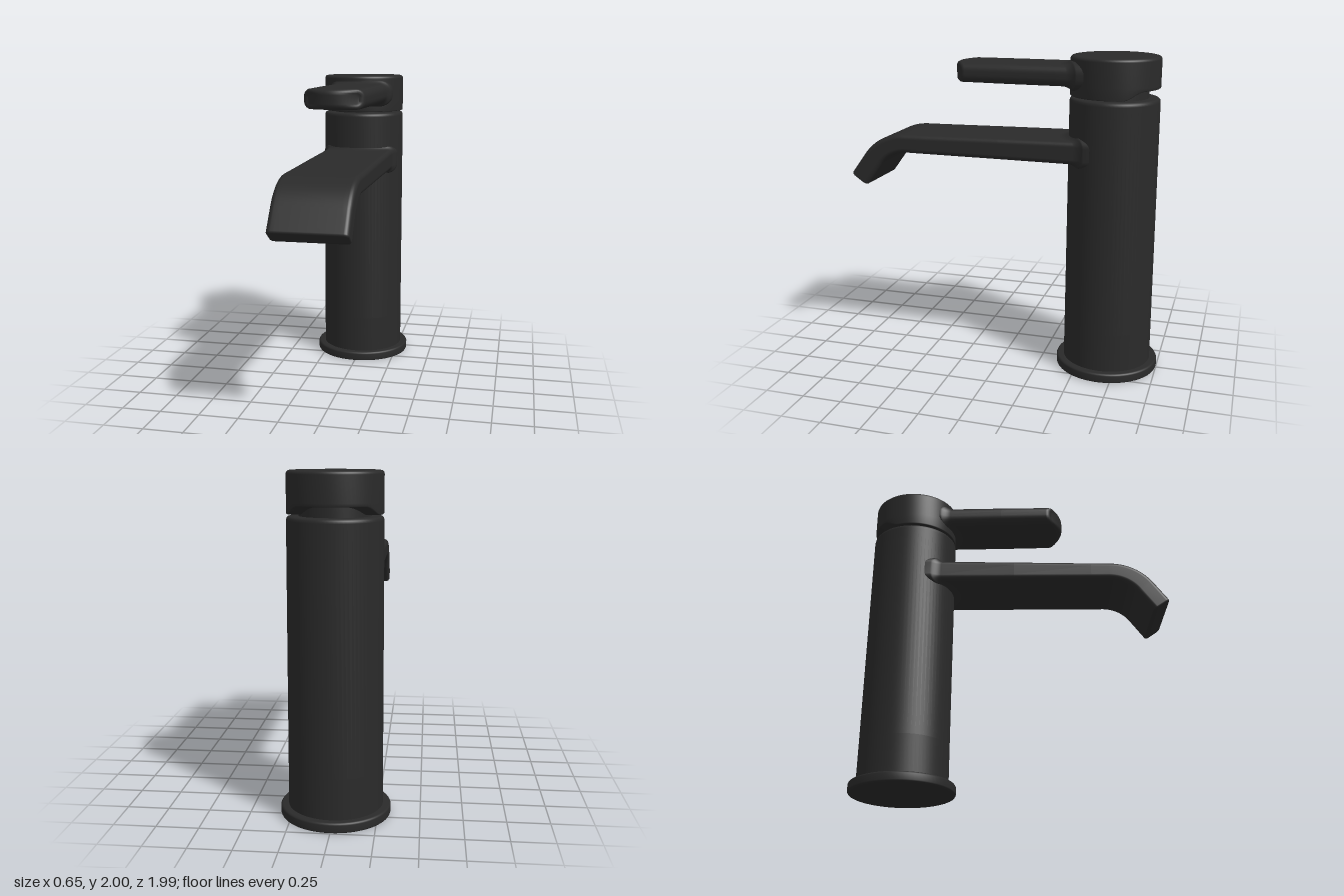
import * as THREE from 'three';
import { mergeVertices } from 'three/addons/utils/BufferGeometryUtils.js';

const AXIS_Z = -0.675;

// Turned solid around the column axis; rule may shift its vertices
function turned(points, rule) {
  let g = new THREE.LatheGeometry(points.map(p => new THREE.Vector2(...p)), 72);
  g.deleteAttribute('uv');
  g.deleteAttribute('normal');
  if (rule) {
    const p = g.attributes.position;
    for (let i = 0; i < p.count; i++) p.setY(i, rule(p.getX(i), p.getY(i), p.getZ(i)));
  }
  g = mergeVertices(g, 1e-5);
  g.computeVertexNormals();
  g.translate(0, 0, AXIS_Z);
  return g;
}

// Rounded-rectangle outline: right to left over the top, then back underneath
function outline(hw, hh, r) {
  const top = [];
  const corner = (cx, from) => {
    for (let i = 0; i <= 6; i++) {
      const a = from + (i / 6) * Math.PI / 2;
      top.push([cx + r * Math.cos(a), hh - r + r * Math.sin(a)]);
    }
  };
  corner(hw - r, 0);
  for (let i = 1; i < 16; i++) top.push([(hw - r) * (1 - i / 8), hh]);
  corner(-(hw - r), Math.PI / 2);
  return [...top, ...top.map(([x, y]) => [x, -y]).reverse()];
}

// Skin through outlines; pitch turns the path downward, bulge bows each slice
function loft(sections) {
  const pos = [], idx = [];
  let n = 0;
  for (const { z, y, pitch = 0, hw, hh, r, bulge = 0 } of sections) {
    const ring = outline(hw, hh, r), c = Math.cos(pitch), s = Math.sin(pitch);
    n = ring.length;
    for (const [x, v] of ring) {
      const d = -bulge * (x / hw) ** 2;
      pos.push(x, y + v * c - d * s, z + v * s + d * c);
    }
  }
  for (let i = 0; i < sections.length - 1; i++) {
    for (let j = 0; j < n; j++) {
      const a = i * n + j, b = i * n + (j + 1) % n;
      idx.push(a, b, a + n, b, b + n, a + n);
    }
  }
  // closing face at the tip
  const e = (sections.length - 1) * n;
  for (let j = 0; j < n / 2 - 1; j++) {
    idx.push(e + j, e + j + 1, e + n - 2 - j, e + j, e + n - 2 - j, e + n - 1 - j);
  }
  const g = new THREE.BufferGeometry();
  g.setAttribute('position', new THREE.Float32BufferAttribute(pos, 3));
  g.setIndex(idx);
  g.computeVertexNormals();
  return g;
}

// Flared root blending an arm into the column
function root(y, hw, hh, r, bulge) {
  const out = [];
  for (let i = -1; i <= 6; i++) {
    const s = Math.max(i, 0) / 6, grow = 0.024 * (1 - s) ** 2;
    out.push({ z: i < 0 ? -0.5 : -0.41 + 0.07 * s, y, hw: hw + grow, hh: hh + grow, r: r + grow, bulge });
  }
  return out;
}

// Rounded end of an arm, finishing at (z, y)
function tip(z, y, pitch, hw, hh, r, bulge, round) {
  const out = [];
  for (let i = 0; i <= 5; i++) {
    const t = (i / 5) * Math.PI / 2, back = round * (1 - Math.sin(t)), inset = round * (1 - Math.cos(t));
    out.push({
      z: z - back * Math.cos(pitch), y: y + back * Math.sin(pitch), pitch,
      hw: hw - inset, hh: hh - inset, r: r - inset, bulge,
    });
  }
  return out;
}

export function createModel() {
  const model = new THREE.Group();
  const black = new THREE.MeshStandardMaterial({ color: 0x2a2a2a });
  black.name = 'matte black';
  const add = (name, geometry) => {
    const m = new THREE.Mesh(geometry, black);
    m.name = name;
    model.add(m);
    return m;
  };

  // Base flange and column
  add('baseFlange', turned([[0, 0], [0.31, 0], [0.322, 0.003], [0.325, 0.01], [0.325, 0.048],
    [0.321, 0.056], [0.312, 0.06], [0.26, 0.06]]));
  add('column', turned([[0.279, 0.05], [0.278, 0.3], [0.274, 1.725], [0.271, 1.739], [0.265, 1.746],
    [0.255, 1.75], [0.2, 1.75], [0, 1.75]]));
  add('neck', turned([[0.205, 1.74], [0.205, 1.84]]));

  // Handle cap, its underside raised at the back
  add('handleCap', turned([[0, 1.76], [0.08, 1.76], [0.12, 1.76], [0.16, 1.76], [0.2, 1.76], [0.235, 1.76],
    [0.268, 1.76], [0.273, 1.765], [0.273, 1.83], [0.273, 1.98], [0.27, 1.99], [0.263, 1.997],
    [0.252, 2], [0.2, 2], [0, 2]],
  (x, y, z) => (y < 1.8 ? y + 0.05 * THREE.MathUtils.smoothstep(-z, 0.09, 0.2) : y)));

  // Lever, swung very slightly to one side
  const lever = loft([
    ...root(1.883, 0.195, 0.0625, 0.05, 0.08),
    { z: 0, y: 1.883, hw: 0.195, hh: 0.0625, r: 0.05, bulge: 0.08 },
    ...tip(0.33, 1.883, 0, 0.193, 0.0615, 0.05, 0.075, 0.035),
  ]);
  lever.translate(0, 0, -AXIS_Z);
  const leverMesh = add('lever', lever);
  leverMesh.position.set(0.014, 0, AXIS_Z);
  leverMesh.rotation.y = -0.03;

  // Spout: straight run, downward bend, angled outlet
  const hw = 0.232, r = 0.03, bend = 55 * Math.PI / 180, R = 0.28;
  const spout = [
    ...root(1.43, hw, 0.069, r, 0.13),
    { z: 0, y: 1.429, hw, hh: 0.065, r },
    { z: 0.5, y: 1.427, hw, hh: 0.06, r },
  ];
  for (let i = 0; i <= 14; i++) {
    const a = bend * i / 14;
    spout.push({ z: 0.62 + R * Math.sin(a), y: 1.427 - R * (1 - Math.cos(a)), pitch: a, hw, hh: 0.059 + 0.005 * i / 14, r });
  }
  spout.push(...tip(0.946, 1.175, bend, hw, 0.064, r, 0, 0.013));
  add('spout', loft(spout));

  return model;
}
